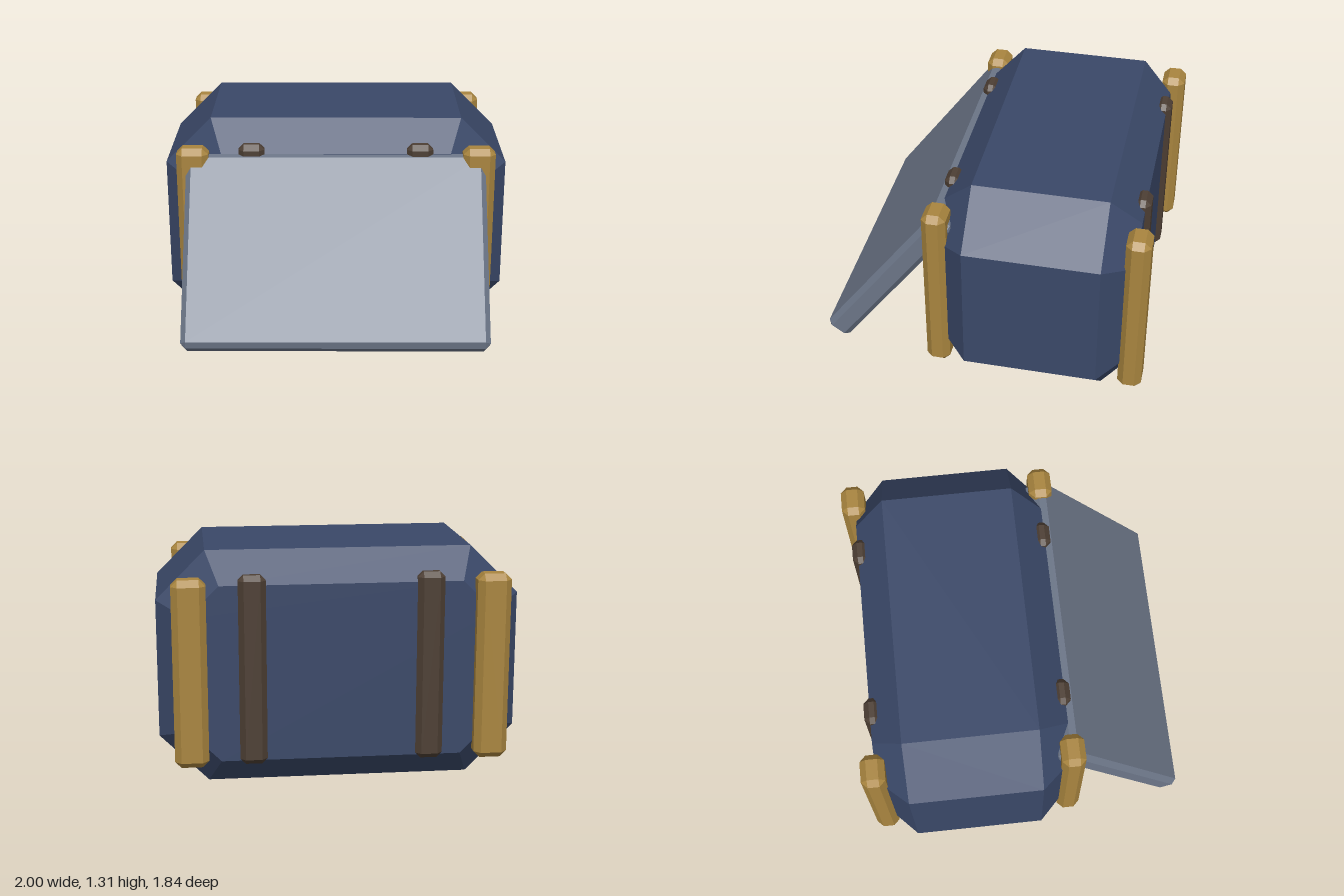
import * as THREE from 'three';
import { ConvexGeometry } from 'three/addons/geometries/ConvexGeometry.js';

const mat = (color) => new THREE.MeshStandardMaterial({ color, flatShading: true });

// Box centred on the origin with every edge cut by c
function chamferBox(w, h, d, c) {
  const x = w / 2, y = h / 2, z = d / 2, points = [];
  for (const i of [-1, 1]) for (const j of [-1, 1]) for (const k of [-1, 1]) {
    points.push(
      new THREE.Vector3(i * x, j * (y - c), k * (z - c)),
      new THREE.Vector3(i * (x - c), j * y, k * (z - c)),
      new THREE.Vector3(i * (x - c), j * (y - c), k * z));
  }
  return new ConvexGeometry(points);
}

// Corners of an octagon (a box outline with its corners cut) at depth z
function octagon(hx, hy, cut, z) {
  const points = [];
  for (const i of [-1, 1]) for (const j of [-1, 1]) {
    points.push(
      new THREE.Vector3(i * hx, j * (hy - cut), z),
      new THREE.Vector3(i * (hx - cut), j * hy, z));
  }
  return points;
}

export function createModel() {
  const model = new THREE.Group();
  const navy = mat(0x3a4868), gold = mat(0xa9853f), brown = mat(0x4d3f34);
  const slate = mat(0x6c7688), dark = mat(0x24282e);

  function add(name, geometry, material, x, y, z) {
    const mesh = new THREE.Mesh(geometry, material);
    mesh.name = name;
    mesh.position.set(x, y, z);
    model.add(mesh);
    return mesh;
  }

  // Octagonal body, bevelled towards its front and back faces
  const HX = 1, HY = 0.655, CUT = 0.27, BEVEL = 0.165;
  const innerCut = CUT - BEVEL * (2 - Math.SQRT2);
  add('body', new ConvexGeometry([
    ...octagon(HX - BEVEL, HY - BEVEL, innerCut, -0.545),
    ...octagon(HX, HY, CUT, -0.375),
    ...octagon(HX, HY, CUT, 0.375),
    ...octagon(HX - BEVEL, HY - BEVEL, innerCut, 0.545),
  ]), navy, 0, HY, -0.3);

  // Corner posts and straps, mirrored left/right and front/back
  const post = chamferBox(0.185, 1.04, 0.135, 0.035);
  const strap = chamferBox(0.15, 1.055, 0.09, 0.03);
  for (const [sideName, side] of [['left', 1], ['right', -1]]) {
    for (const [endName, end] of [['Front', 1], ['Back', -1]]) {
      add(`${sideName}${endName}Post`, post, gold, side * 0.823, 0.67, -0.3 + end * 0.553);
      add(`${sideName}${endName}Strap`, strap, brown, side * 0.485, 0.673, -0.3 + end * 0.53);
    }
  }

  // Front flap, swung outwards from its top edge
  const tilt = 0.64;
  const flap = add('frontFlap', chamferBox(1.72, 1.13, 0.145, 0.03), slate, 0, 0.665, 0.545);
  flap.rotation.x = -tilt;

  // Latch behind the flap: plate and upward-pointing lever
  add('latchPlate', chamferBox(0.2, 0.23, 0.14, 0.025), dark, 0, 0.45, 0.285);
  const lever = add('latchLever', chamferBox(0.1, 0.055, 0.19, 0.008), gold, 0, 0.565, 0.395);
  lever.rotation.x = -tilt;

  return model;
}
